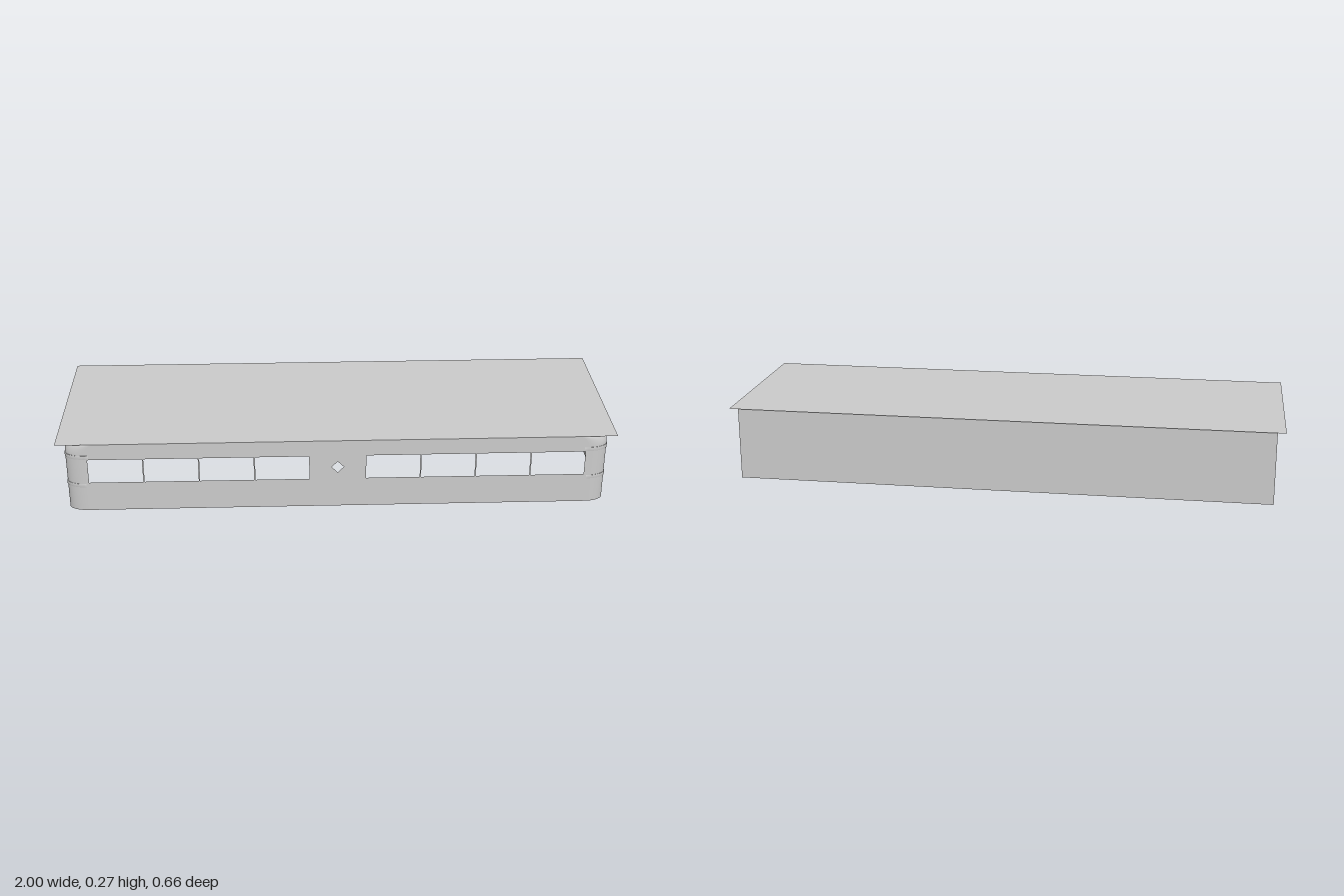
import * as THREE from 'three';

const W = 0.97, F = 0.328, B = -0.32, H = 0.267; // wall planes and height
const mat = new THREE.MeshStandardMaterial({ color: 0xcccccc, side: THREE.DoubleSide });

// Corner rounding by height: y, radius along x, radius along z
const corner = [
  [0, 0.07, 0.04], [0.222, 0.07, 0.04], [0.235, 0.072, 0.044], [0.248, 0.077, 0.054],
  [0.257, 0.084, 0.068], [0.262, 0.092, 0.082], [0.265, 0.1, 0.095], [H, 0.1, 0.095],
];

function mesh(name, geometry) {
  const m = new THREE.Mesh(geometry, mat);
  m.name = name;
  return m;
}

// Hole outline from corner points
function hole(shape, points) {
  shape.holes.push(new THREE.Path(points.map(([x, y]) => new THREE.Vector2(x, y))));
}
function rectHole(shape, x0, x1, y0 = 0.113, y1 = 0.205) {
  hole(shape, [[x0, y0], [x0, y1], [x1, y1], [x1, y0]]);
}

// Loft around a front corner; rows are [y, rx, rz, offset], ext adds straight ends
function cornerLoft(side, rows, ext = 0) {
  const n = 16, pos = [], idx = [];
  for (const [y, rx, rz, off = 0] of rows) {
    const path = [];
    for (let i = 0; i <= n; i++) {
      const a = (i / n) * Math.PI / 2;
      path.push([W - rx + (rx + off) * Math.cos(a), F - rz + (rz + off) * Math.sin(a)]);
    }
    if (ext) {
      path.unshift([path[0][0], path[0][1] - ext]);
      path.push([path[n + 1][0] - ext / 2, path[n + 1][1]]);
    }
    for (const [x, z] of path) pos.push(side * x, y, z);
  }
  const c = pos.length / 3 / rows.length;
  for (let r = 0; r < rows.length - 1; r++) {
    for (let i = 0; i < c - 1; i++) {
      const a = r * c + i, b = a + 1, d = a + c, e = d + 1;
      if (side > 0) idx.push(a, d, b, b, d, e);
      else idx.push(a, b, d, b, e, d);
    }
  }
  const g = new THREE.BufferGeometry();
  g.setAttribute('position', new THREE.Float32BufferAttribute(pos, 3));
  g.setIndex(idx);
  g.computeVertexNormals();
  return g;
}

export function createModel() {
  const model = new THREE.Group();

  // Flat roof sheet, overhanging the ends
  const roof = mesh('roof', new THREE.PlaneGeometry(2, 0.66));
  roof.rotation.x = -Math.PI / 2;
  roof.position.y = H;
  model.add(roof);

  // Plain back wall
  const back = mesh('backWall', new THREE.PlaneGeometry(2 * W, H));
  back.rotation.y = Math.PI;
  back.position.set(0, H / 2, B);
  model.add(back);

  // Front wall: two rows of four windows and a small diamond opening
  const outline = corner.map(([y, rx]) => new THREE.Vector2(W - rx, y));
  const mirrored = outline.map((p) => new THREE.Vector2(-p.x, p.y)).reverse();
  const front = new THREE.Shape([...outline, ...mirrored]);
  for (const s of [-1, 1]) {
    for (let i = 0; i < 4; i++) {
      const x = 0.102 + i * 0.198;
      rectHole(front, s * x, s * (x + 0.193));
    }
  }
  hole(front, [[0, 0.138], [-0.022, 0.16], [0, 0.182], [0.022, 0.16]]);
  const frontWall = mesh('frontWall', new THREE.ShapeGeometry(front));
  frontWall.position.z = F;
  model.add(frontWall);

  for (const s of [-1, 1]) {
    const end = s > 0 ? 'left' : 'right';

    // End wall with three windows, drawn with shape x = -z
    const edge = corner.map(([y, , rz]) => new THREE.Vector2(rz - F, y)).reverse();
    const side = new THREE.Shape([...edge, new THREE.Vector2(-B, 0), new THREE.Vector2(-B, H)]);
    for (const [z0, z1] of [[0.23, 0.05], [0.042, -0.139], [-0.147, -0.319]]) rectHole(side, -z0, -z1);
    const g = new THREE.ShapeGeometry(side);
    g.rotateY(Math.PI / 2);
    const wall = mesh(end + 'EndWall', g);
    wall.position.x = s * W;
    model.add(wall);

    // Rounded corner that curves inward beneath the roof
    model.add(mesh(end + 'FrontCorner', cornerLoft(s, corner)));

    // Raised bands round the corner
    const band = (y0, y1) => [[y0, 0], [y0, 0.002], [y1, 0.002], [y1, 0]]
      .map(([y, off]) => [y, 0.07, 0.04, off]);
    model.add(mesh(end + 'UpperBand', cornerLoft(s, band(0.208, 0.222), 0.03)));
    model.add(mesh(end + 'LowerBand', cornerLoft(s, band(0.095, 0.108), 0.003)));
  }
  return model;
}
